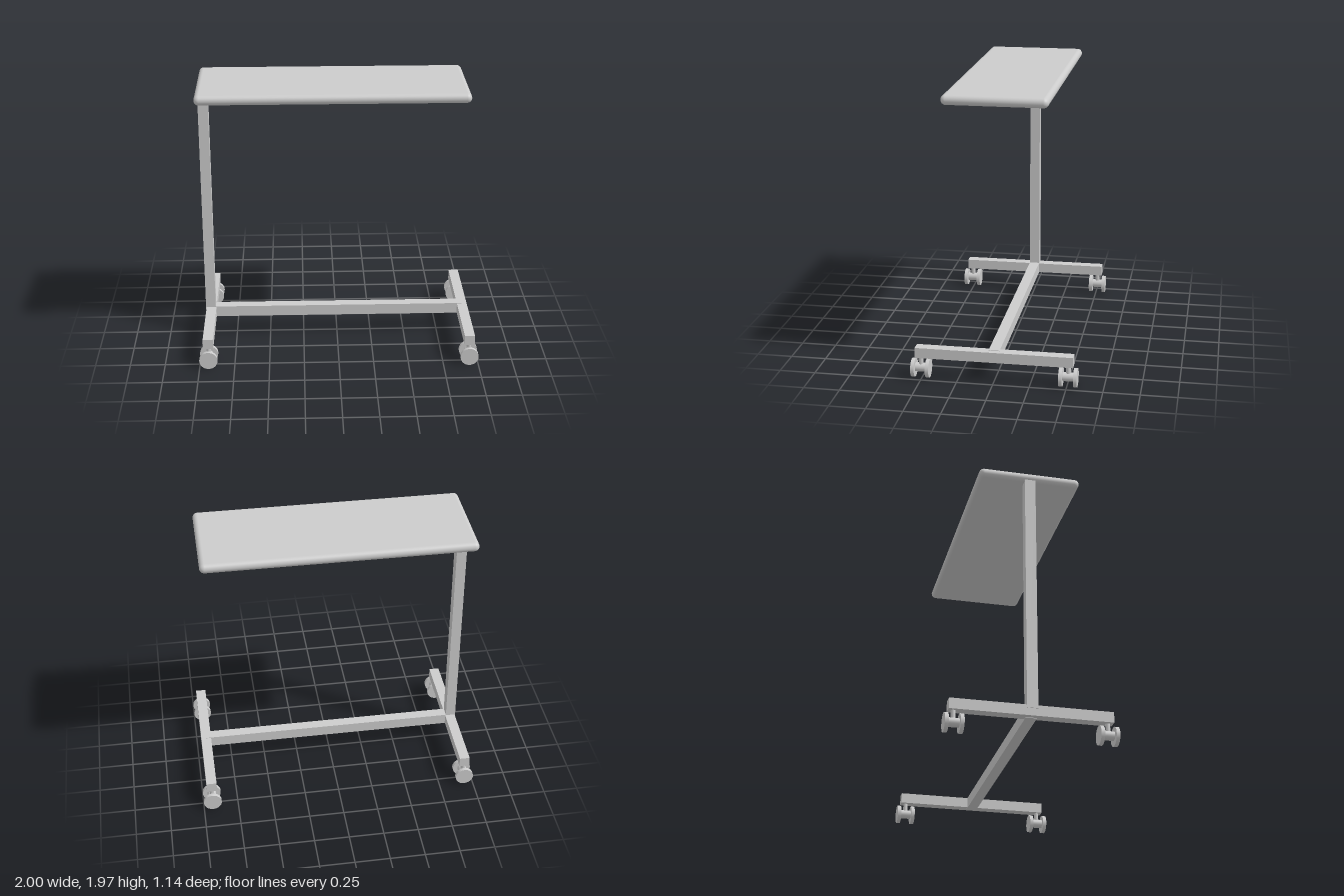
import * as THREE from 'three';
import { RoundedBoxGeometry } from 'three/addons/geometries/RoundedBoxGeometry.js';

export function createModel() {
  const group = new THREE.Group();
  const mat = new THREE.MeshStandardMaterial({ color: 0xcccccc });
  const RAIL_X = 0.935, CASTER_Z = 0.509, WHEEL_R = 0.065;

  const add = (parent, name, geometry, x, y, z) => {
    const mesh = new THREE.Mesh(geometry, mat);
    mesh.name = name;
    mesh.position.set(x, y, z);
    parent.add(mesh);
    return mesh;
  };

  // Tabletop with a fully rounded edge, carried by a single post on one side
  add(group, 'tabletop', new RoundedBoxGeometry(1.89, 0.068, 0.712, 8, 0.034), -0.035, 1.934, 0);
  add(group, 'post', new THREE.BoxGeometry(0.072, 1.71, 0.075), -0.94, 1.055, 0);

  // Base: long crossbar joining two side rails
  add(group, 'crossbar', new THREE.BoxGeometry(1.87, 0.08, 0.075), 0, 0.185, 0);

  // Twin-wheel casters: stem, axle hub and two discs
  const stemGeo = new THREE.CylinderGeometry(0.016, 0.016, 0.07, 24);
  const hubGeo = new THREE.CylinderGeometry(0.031, 0.031, 0.09, 32).rotateX(Math.PI / 2);
  const wheelGeo = new THREE.CylinderGeometry(WHEEL_R, WHEEL_R, 0.025, 40).rotateX(Math.PI / 2);

  for (const sx of [-1, 1]) {
    const side = sx > 0 ? 'left' : 'right';
    add(group, side + 'Rail', new THREE.BoxGeometry(0.073, 0.073, 1.088), sx * RAIL_X, 0.185, 0);
    for (const sz of [-1, 1]) {
      const caster = new THREE.Group();
      caster.name = side + (sz > 0 ? 'Front' : 'Back') + 'Caster';
      caster.position.set(sx * RAIL_X, 0, sz * CASTER_Z);
      add(caster, 'stem', stemGeo, 0, 0.12, 0);
      add(caster, 'hub', hubGeo, 0, WHEEL_R + 0.003, 0);
      for (const s of [-1, 1]) add(caster, 'wheel', wheelGeo, 0, WHEEL_R, s * 0.0505);
      group.add(caster);
    }
  }
  return group;
}
